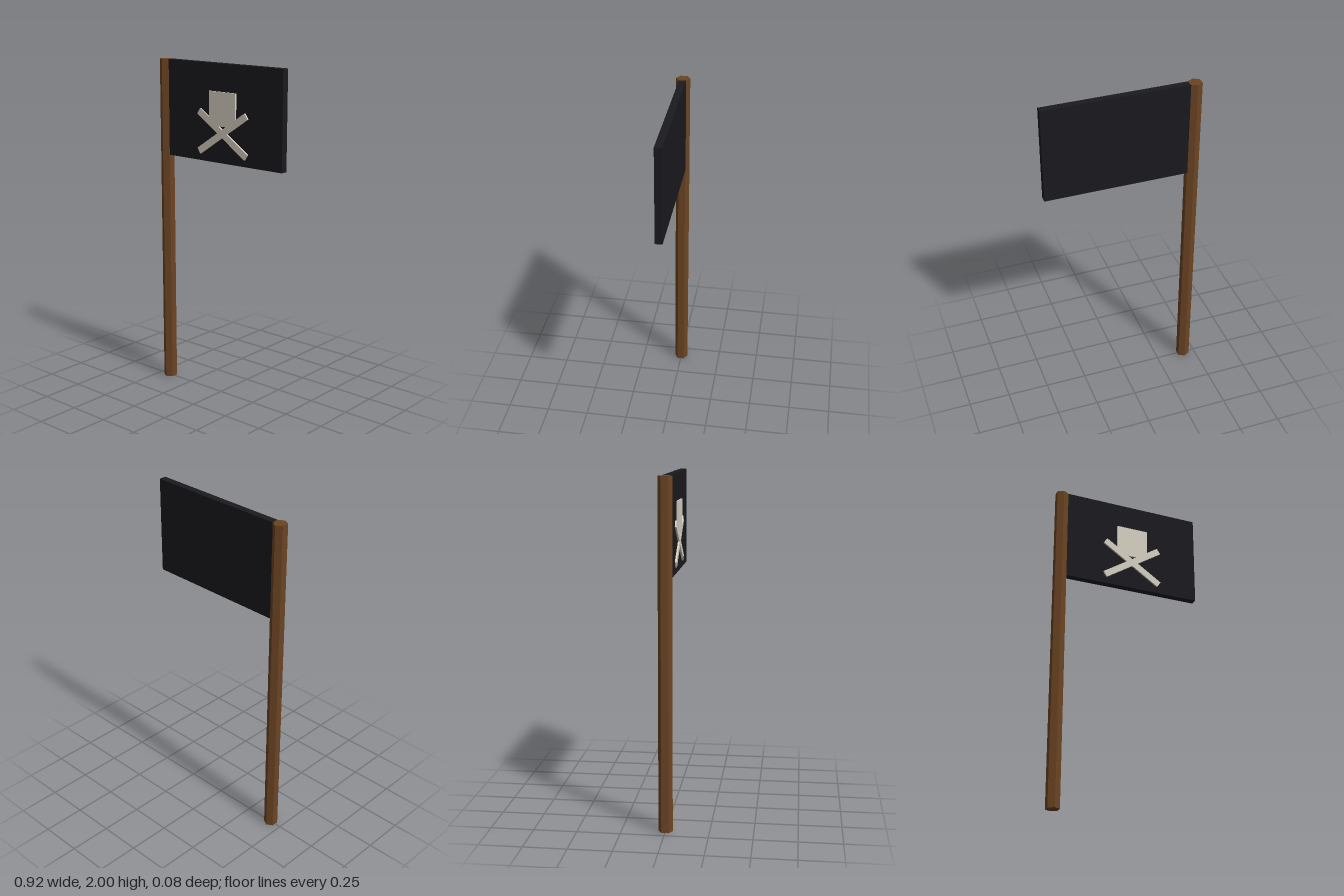
import * as THREE from 'three';

const material = (color) => new THREE.MeshStandardMaterial({ color, flatShading: true });

export function createModel() {
  const flag = new THREE.Group();
  flag.name = 'flag';
  const wood = material(0x6b4423);
  const cloth = material(0x1a1a1f);
  const bone = material(0xd8d2c4);

  const add = (name, geometry, mat, x, y, z, tilt = 0) => {
    const mesh = new THREE.Mesh(geometry, mat);
    mesh.name = name;
    mesh.position.set(x, y, z);
    mesh.rotation.z = tilt;
    flag.add(mesh);
  };

  // Six-sided pole
  add('pole', new THREE.CylinderGeometry(0.041, 0.041, 2, 6), wood, -0.425, 1, 0);

  // Stiff cloth panel, flush with the top of the pole
  add('cloth', new THREE.BoxGeometry(0.854, 0.57, 0.042), cloth, 0.032, 1.715, -0.001);

  // Block skull above two crossed bones, raised on the front
  const emblemX = 0.032, emblemZ = 0.024, depth = 0.012;
  add('skull', new THREE.BoxGeometry(0.197, 0.197, depth), bone, emblemX, 1.743, emblemZ);
  for (const [name, side] of [['boneRising', 1], ['boneFalling', -1]]) {
    add(name, new THREE.BoxGeometry(0.424, 0.04, depth), bone, emblemX, 1.603, emblemZ, side * 0.585);
  }

  return flag;
}
